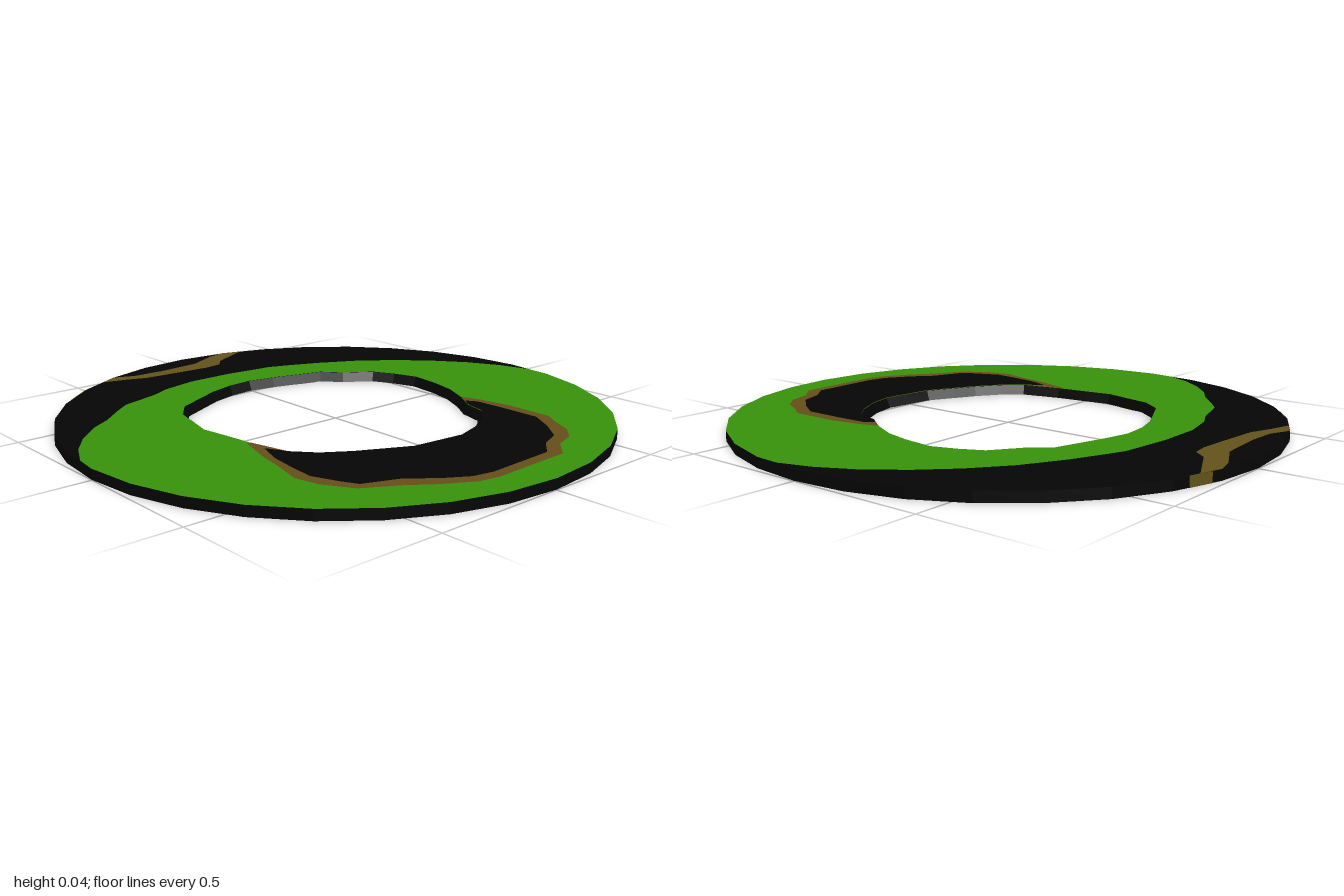
import * as THREE from 'three';

const material = (name, color, side = THREE.FrontSide) => {
  const m = new THREE.MeshStandardMaterial({ color, side });
  m.name = name;
  return m;
};
const SIDES = 32;
const HEIGHT = 0.04;

// All outlines are [x, z] points on the ground plane.
const HOLE = [
  [0, -0.505], [0.1, -0.485], [0.3, -0.43], [0.36, -0.36], [0.46, -0.29], [0.5, -0.21],
  [0.53, -0.12], [0.515, 0], [0.49, 0.1], [0.44, 0.2], [0.385, 0.28], [0.36, 0.37],
  [0.29, 0.43], [0.2, 0.48], [0.1, 0.51], [0, 0.5], [-0.1, 0.49], [-0.2, 0.44],
  [-0.28, 0.4], [-0.37, 0.34], [-0.43, 0.27], [-0.465, 0.12], [-0.48, 0], [-0.495, -0.1],
  [-0.47, -0.2], [-0.45, -0.29], [-0.39, -0.37], [-0.29, -0.42], [-0.2, -0.465], [-0.1, -0.495],
];
const TAPER = 1.03;
const holeTop = HOLE.map(([x, z]) => [x * TAPER, z * TAPER]);
const rimPoint = (i) => {
  const a = (i / SIDES) * Math.PI * 2;
  return [Math.sin(a), -Math.cos(a)];
};
const toShape = (pts, hole) => {
  const v = (list) => list.map(([x, z]) => new THREE.Vector2(x, -z));
  const shape = new THREE.Shape(v(pts));
  if (hole) shape.holes.push(new THREE.Path(v(hole)));
  return shape;
};

// Flat painted region facing up
function plate(name, pts, y, mat, hole) {
  const g = new THREE.ShapeGeometry(toShape(pts, hole));
  g.rotateX(-Math.PI / 2).translate(0, y, 0);
  const mesh = new THREE.Mesh(g, mat);
  mesh.name = name;
  return mesh;
}

export function createModel() {
  const group = new THREE.Group();
  group.name = 'ring';
  const black = material('black', 0x050505);
  const green = material('green', 0x38920a);
  const brown = material('brown', 0x654e1a);
  const ochre = material('ochre', 0x62521a, THREE.DoubleSide);

  // Ring body, with the hole narrowing slightly towards the bottom
  const rim = Array.from({ length: SIDES }, (_, i) => rimPoint(-i));
  const bodyGeo = new THREE.ExtrudeGeometry(toShape(rim, holeTop), {
    depth: HEIGHT - 0.004, bevelEnabled: false,
  });
  bodyGeo.rotateX(-Math.PI / 2).translate(0, 0.001, 0);
  const pos = bodyGeo.attributes.position;
  for (let i = 0; i < pos.count; i++) {
    if (pos.getY(i) < 0.01 && Math.hypot(pos.getX(i), pos.getZ(i)) < 0.7) {
      pos.setX(i, pos.getX(i) / TAPER);
      pos.setZ(i, pos.getZ(i) / TAPER);
    }
  }
  bodyGeo.computeVertexNormals();
  const body = new THREE.Mesh(bodyGeo, black);
  body.name = 'ringBody';
  group.add(body);

  // Green top field: wavy back edge, then round the front rim
  const backEdge = [
    [-0.988, -0.09], [-0.94, -0.19], [-0.87, -0.285], [-0.78, -0.37], [-0.7, -0.42],
    [-0.62, -0.49], [-0.55, -0.545], [-0.4, -0.59], [-0.32, -0.63], [-0.18, -0.663],
    [0, -0.665], [0.2, -0.645], [0.28, -0.615], [0.4, -0.565], [0.55, -0.485],
    [0.68, -0.385], [0.79, -0.275], [0.885, -0.15], [0.95, -0.025], [0.987, 0.095],
  ];
  const frontRim = [];
  for (let i = 9; i <= 24; i++) frontRim.push(rimPoint(i));
  group.add(plate('greenField', [...backEdge, ...frontRim], HEIGHT - 0.002, green, holeTop));

  // Dark front patch with its brown border, both closed along the hole
  const border = [
    [-0.495, 0.12], [-0.54, 0.27], [-0.56, 0.37], [-0.59, 0.48], [-0.57, 0.57], [-0.51, 0.67],
    [-0.39, 0.74], [-0.31, 0.8], [-0.2, 0.865], [-0.12, 0.88], [0.2, 0.87], [0.27, 0.805],
    [0.36, 0.775], [0.42, 0.72], [0.46, 0.64], [0.5, 0.58], [0.5, 0.4], [0.48, 0.28], [0.455, 0.205],
  ];
  const patch = [
    [-0.485, 0.2], [-0.52, 0.3], [-0.535, 0.4], [-0.545, 0.5], [-0.51, 0.59], [-0.48, 0.65],
    [-0.35, 0.7], [-0.27, 0.77], [-0.18, 0.825], [-0.1, 0.84], [0.17, 0.83], [0.24, 0.77],
    [0.33, 0.735], [0.4, 0.65], [0.455, 0.56], [0.455, 0.4], [0.45, 0.29], [0.425, 0.25],
  ];
  group.add(plate('patchBorder', [...border, ...holeTop.slice(9, 22)], HEIGHT - 0.001, brown));
  group.add(plate('darkPatch', [...patch, ...holeTop.slice(10, 21)], HEIGHT, black));

  // Ochre streak on the back of the top
  const streak = [
    [-0.38, -0.924], [-0.3, -0.89], [-0.18, -0.885], [0, -0.9], [0.06, -0.93], [0.12, -0.96],
    [0.195, -0.981], [0.28, -0.955], [0.17, -0.9], [0.11, -0.87], [0.07, -0.82], [0, -0.81],
    [-0.15, -0.82], [-0.28, -0.83], [-0.36, -0.86], [-0.45, -0.885],
  ];
  group.add(plate('topStreak', streak, HEIGHT - 0.002, ochre));

  // Ochre streaks on the underside, from hole to rim
  const underStreaks = [
    [
      [0.19, -0.462], [0.245, -0.69], [0.26, -0.82], [0.235, -0.968],
      [0.32, -0.942], [0.34, -0.82], [0.325, -0.69], [0.275, -0.438],
    ],
    [
      [-0.478, -0.17], [-0.687, -0.33], [-0.775, -0.51], [-0.775, -0.61],
      [-0.72, -0.685], [-0.695, -0.53], [-0.635, -0.39], [-0.46, -0.245],
    ],
  ];
  for (const pts of underStreaks) group.add(plate('underStreak', pts, 0, ochre));

  // Ochre marks on the outer wall
  for (const [facet, shift] of [[1.5, -0.012], [-3.5, 0.02]]) {
    const a = (facet / SIDES) * Math.PI * 2;
    const r = Math.cos(Math.PI / SIDES);
    const mark = new THREE.Mesh(new THREE.BoxGeometry(0.09, HEIGHT - 0.004, 0.004), ochre);
    mark.name = 'rimMark';
    mark.position.set(
      Math.sin(a) * r + Math.cos(a) * shift, HEIGHT / 2 - 0.001, -Math.cos(a) * r + Math.sin(a) * shift);
    mark.rotation.y = -a;
    group.add(mark);
  }
  return group;
}
